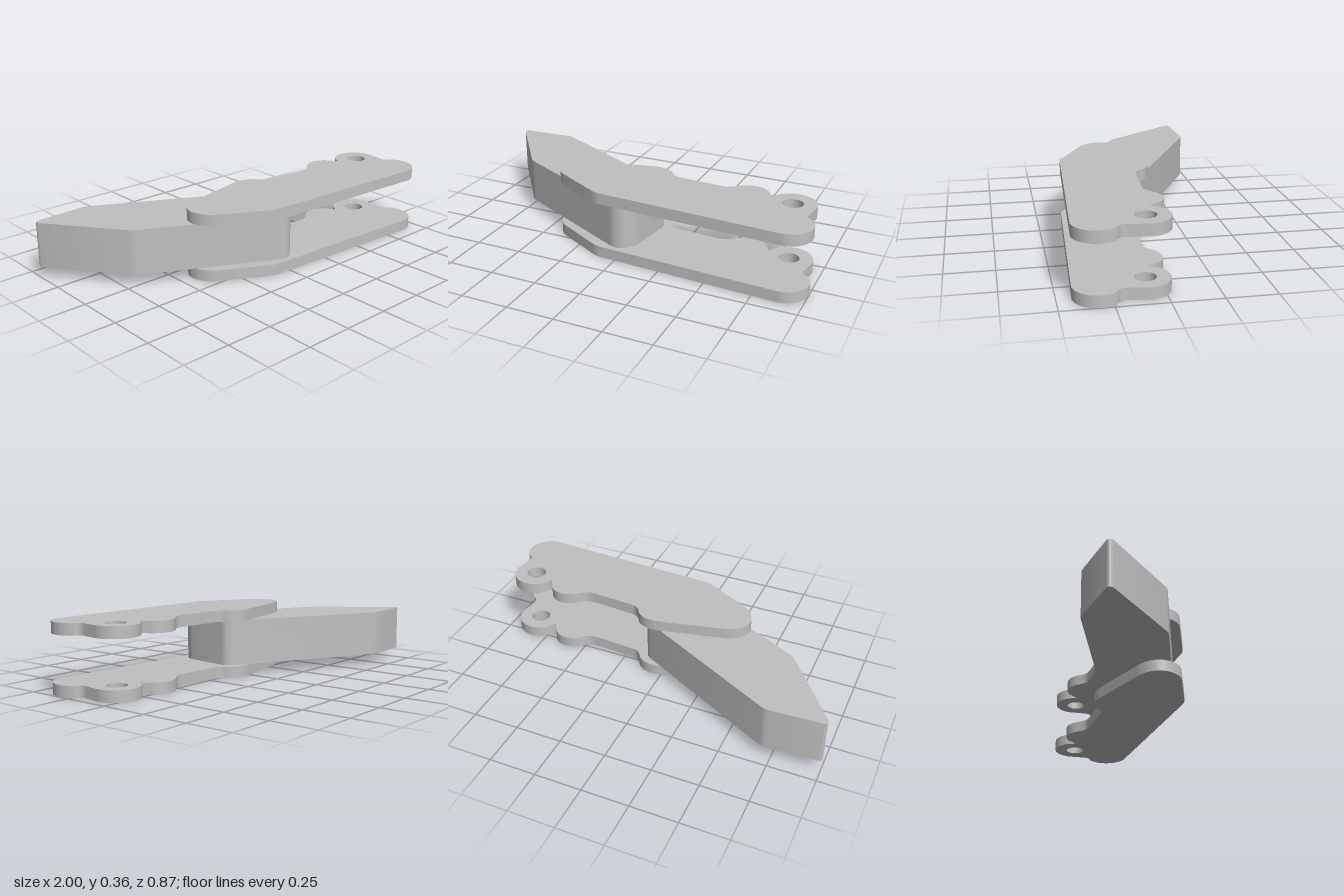
import * as THREE from 'three';
import { toCreasedNormals } from 'three/addons/utils/BufferGeometryUtils.js';

// Extrude an outline drawn in plan (shape y = -z) upwards from y0.
function slab(shape, name, y0, height, material) {
  const flat = new THREE.ExtrudeGeometry(shape, { depth: height, bevelEnabled: false, curveSegments: 20 });
  flat.rotateX(-Math.PI / 2);
  const mesh = new THREE.Mesh(toCreasedNormals(flat, 0.5), material);
  mesh.name = name;
  mesh.position.y = y0;
  return mesh;
}

// Side plate: rounded nose, two humps, a pierced lug and a round heel.
function plateShape() {
  const s = new THREE.Shape();
  s.moveTo(-0.31, 0);
  s.lineTo(0, 0.069);
  s.bezierCurveTo(0.08, 0.088, 0.125, 0.06, 0.145, 0.03);
  s.bezierCurveTo(0.155, 0.012, 0.17, -0.008, 0.2, -0.011);
  s.lineTo(0.43, -0.027);
  s.bezierCurveTo(0.48, -0.03, 0.49, -0.015, 0.51, 0);
  s.bezierCurveTo(0.565, 0.06, 0.655, 0.06, 0.69, -0.005);
  s.lineTo(0.715, -0.045);
  s.absarc(0.835, -0.085, 0.12, 2.8, -0.1, true);
  s.lineTo(0.94, -0.19);
  s.bezierCurveTo(0.94, -0.215, 0.95, -0.22, 0.967, -0.235);
  s.absarc(0.88, -0.31, 0.12, 0.68, -1.63, true);
  s.lineTo(-0.08, -0.376);
  s.quadraticCurveTo(-0.11, -0.374, -0.14, -0.356);
  s.lineTo(-0.37, -0.228);
  s.bezierCurveTo(-0.415, -0.2, -0.434, -0.15, -0.434, -0.115);
  s.bezierCurveTo(-0.434, -0.05, -0.38, -0.015, -0.31, 0);
  const hole = new THREE.Path();
  hole.absarc(0.835, -0.085, 0.052, 0, Math.PI * 2, false);
  s.holes.push(hole);
  return s;
}

// Middle arm: slanted bar with a pointed outer end and rounded inner corners.
function armShape() {
  const s = new THREE.Shape();
  s.moveTo(-0.98, 0.426);
  s.lineTo(-0.72, 0.439);
  s.quadraticCurveTo(-0.7, 0.44, -0.68, 0.43);
  s.lineTo(0.07, 0.033);
  s.quadraticCurveTo(0.12, 0.008, 0.114, -0.04);
  s.lineTo(0.082, -0.26);
  s.bezierCurveTo(0.072, -0.335, 0.01, -0.37, -0.05, -0.337);
  s.lineTo(-0.69, -0.008);
  s.quadraticCurveTo(-0.705, 0, -0.715, 0.012);
  s.lineTo(-0.995, 0.393);
  s.quadraticCurveTo(-1.01, 0.422, -0.98, 0.426);
  return s;
}

export function createModel() {
  const model = new THREE.Group();
  model.name = 'hingedLink';
  const metal = new THREE.MeshStandardMaterial({ color: 0xc0c0c0 });
  metal.name = 'light grey metal';

  model.add(slab(plateShape(), 'lowerPlate', 0, 0.06, metal));
  model.add(slab(armShape(), 'middleArm', 0.06, 0.24, metal));
  model.add(slab(plateShape(), 'upperPlate', 0.3, 0.06, metal));
  return model;
}
